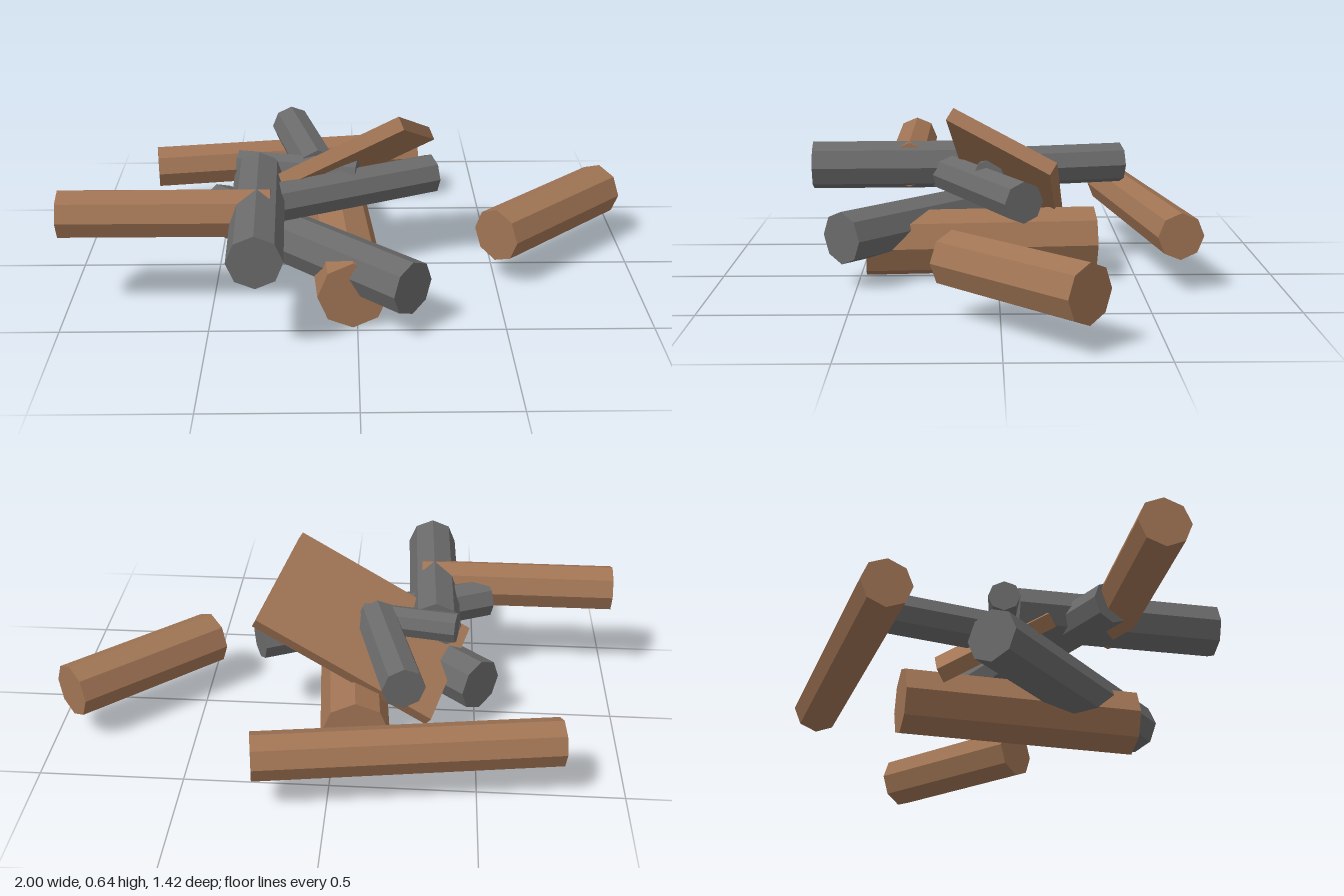
import * as THREE from 'three';

export function createModel() {
  const group = new THREE.Group();
  const wood = new THREE.MeshStandardMaterial({ color: 0xa07454, flatShading: true });
  wood.name = 'brown wood';
  const ash = new THREE.MeshStandardMaterial({ color: 0x6a6a6b, flatShading: true });
  ash.name = 'charred grey';

  // Eight-sided log between two end centres, with a ridge on top
  function log(name, material, radius, from, to) {
    const a = new THREE.Vector3(...from);
    const b = new THREE.Vector3(...to);
    const geometry = new THREE.CylinderGeometry(radius, radius, a.distanceTo(b), 8);
    geometry.rotateX(Math.PI / 2);
    const mesh = new THREE.Mesh(geometry, material);
    mesh.name = name;
    mesh.position.copy(a).add(b).multiplyScalar(0.5);
    mesh.lookAt(b);
    group.add(mesh);
  }

  // Brown logs
  log('backLog', wood, 0.083, [-0.775, 0.2, -0.47], [0.247, 0.2, -0.63]);
  log('looseLog', wood, 0.097, [0.495, 0.187, 0.157], [0.932, 0.187, -0.258]);
  log('rightLog', wood, 0.085, [-1, 0.36, 0.335], [-0.29, 0.36, 0.335]);
  log('bottomLog', wood, 0.12, [-0.08, 0.12, -0.355], [-0.015, 0.12, 0.48]);

  // Grey logs
  log('frontGreyLog', ash, 0.091, [-0.345, 0.355, 0], [-0.325, 0.355, 0.703]);
  log('diagonalGreyLog', ash, 0.094, [-0.512, 0.183, -0.108], [0.18, 0.183, 0.55]);
  log('crossGreyLog', ash, 0.073, [-0.53, 0.327, 0.29], [0.277, 0.327, -0.085]);
  log('backGreyLog', ash, 0.074, [-0.245, 0.378, -0.465], [-0.135, 0.378, 0]);
  log('shortGreyLog', ash, 0.055, [-0.42, 0.38, -0.05], [0.005, 0.375, 0.033]);

  // Tilted plank leaning over the pile, placed from its highest corner
  const thickness = 0.05;
  const corner = new THREE.Vector3(0.152, 0.64, 0.157);
  const along = new THREE.Vector3(-0.615, -0.335, -0.065);
  const across = new THREE.Vector3(0.115, -0.18, -0.355);
  const x = along.clone().normalize();
  const y = new THREE.Vector3().crossVectors(across, along).normalize();
  const z = new THREE.Vector3().crossVectors(x, y);
  const plank = new THREE.Mesh(
    new THREE.BoxGeometry(along.length(), thickness, across.length()), wood);
  plank.name = 'plank';
  plank.quaternion.setFromRotationMatrix(new THREE.Matrix4().makeBasis(x, y, z));
  plank.position.copy(corner).addScaledVector(along, 0.5)
    .addScaledVector(across, 0.5).addScaledVector(y, -thickness / 2);
  group.add(plank);

  return group;
}
